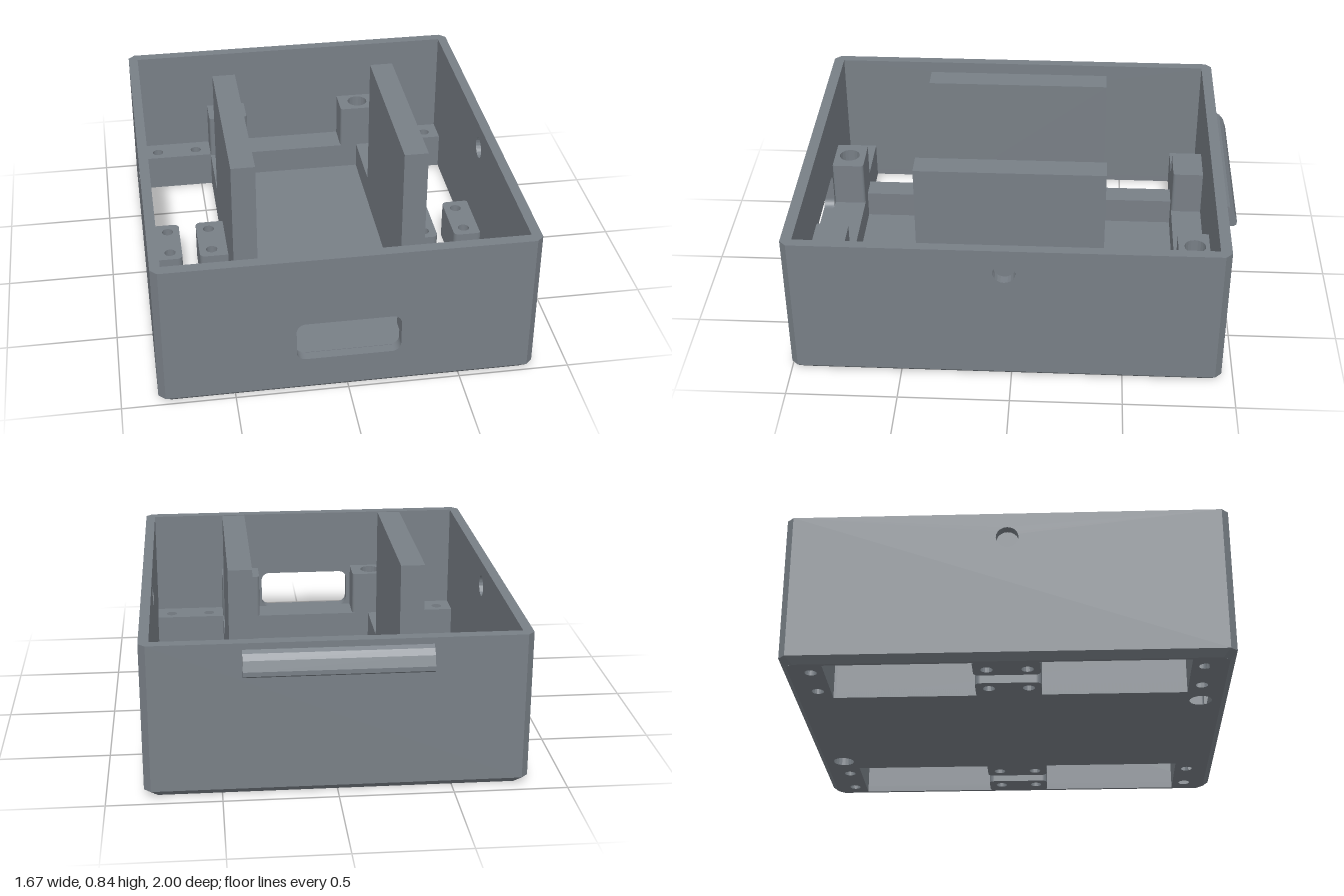
import * as THREE from 'three';

const material = new THREE.MeshStandardMaterial({ color: 0x787f86, flatShading: true });

// Outer body limits, wall thickness and edge chamfer
const X = 0.837, Z0 = -0.946, Z1 = 1.0, TOP = 0.7, WALL = 0.045, CH = 0.03;
const DECK = 0.18; // height of the mounting decks, tabs and rails

function roundRect(x0, y0, x1, y1, r = 0) {
  const s = new THREE.Shape();
  if (!r) {
    return s.moveTo(x0, y0).lineTo(x1, y0).lineTo(x1, y1).lineTo(x0, y1).closePath();
  }
  s.moveTo(x0 + r, y0).lineTo(x1 - r, y0);
  s.absarc(x1 - r, y0 + r, r, -Math.PI / 2, 0);
  s.absarc(x1 - r, y1 - r, r, 0, Math.PI / 2);
  s.absarc(x0 + r, y1 - r, r, Math.PI / 2, Math.PI);
  s.absarc(x0 + r, y0 + r, r, Math.PI, Math.PI * 1.5);
  return s;
}

function addHole(shape, x, y, r) {
  shape.holes.push(new THREE.Path().absarc(x, y, r, 0, Math.PI * 2, true));
}

function extrude(shape, depth) {
  return new THREE.ExtrudeGeometry(shape, { depth, bevelEnabled: false, curveSegments: 10 });
}

// Shape drawn in (x, z), standing between heights y0 and y1
function slab(shape, y0, y1) {
  return extrude(shape, y1 - y0).rotateX(Math.PI / 2).translate(0, y1, 0);
}

// Outline of the body with chamfered corners, inset by d
function outline(d, y) {
  const x = X - d, a = Z0 + d, b = Z1 - d;
  return [[-x + CH, b], [x - CH, b], [x, b - CH], [x, a + CH],
    [x - CH, a], [-x + CH, a], [-x, a + CH], [-x, b - CH]].map(([px, pz]) => [px, y, pz]);
}

// Chamfered skirt closing the lower edge of the walls
function skirtGeometry() {
  const rings = [outline(WALL, CH), outline(WALL, 0), outline(CH, 0), outline(0, CH)];
  const pos = [], index = [];
  rings.forEach((ring) => ring.forEach((p) => pos.push(...p)));
  for (let k = 0; k < 3; k++) {
    for (let i = 0; i < 8; i++) {
      const j = (i + 1) % 8;
      const a = k * 8 + i, b = k * 8 + j, c = a + 8, d = b + 8;
      index.push(a, c, b, b, c, d);
    }
  }
  const g = new THREE.BufferGeometry();
  g.setAttribute('position', new THREE.Float32BufferAttribute(pos, 3));
  g.setIndex(index);
  const flat = g.toNonIndexed();
  flat.computeVertexNormals();
  return flat;
}

export function createModel() {
  const model = new THREE.Group();
  const add = (name, geometry, mat = material) => {
    const mesh = new THREE.Mesh(geometry, mat);
    mesh.name = name;
    model.add(mesh);
  };

  // Front wall with its rounded window, plain back wall
  const front = roundRect(-X + CH, CH, X - CH, TOP);
  front.holes.push(roundRect(-0.23, 0.178, 0.23, 0.368, 0.04));
  add('frontWall', extrude(front, WALL + 0.005).translate(0, 0, Z1 - WALL - 0.005));
  add('backWall', extrude(roundRect(-X + CH, CH, X - CH, TOP), WALL + 0.005).translate(0, 0, Z0));

  // Side walls, each with a round hole near the rim
  for (const s of [-1, 1]) {
    const side = roundRect(-Z1 + CH, CH, -Z0 - CH, TOP);
    addHole(side, -0.03, 0.582, 0.05);
    add(s > 0 ? 'leftWall' : 'rightWall',
      extrude(side, WALL).rotateY(Math.PI / 2).translate(s > 0 ? X - WALL : -X, 0, 0));

    // Chamfered vertical corners
    for (const [z, dz] of [[Z1, -CH], [Z0, CH]]) {
      const corner = new THREE.Shape()
        .moveTo(s * (X - CH), z).lineTo(s * X, z + dz).lineTo(s * (X - CH), z + dz).closePath();
      add('cornerChamfer', slab(corner, CH, TOP));
    }
  }
  const skirtMaterial = material.clone();
  skirtMaterial.side = THREE.DoubleSide;
  add('bottomSkirt', skirtGeometry(), skirtMaterial);

  // Centre floor
  add('centreFloor', slab(roundRect(-0.445, -0.765, 0.445, 0.81), 0, 0.05));

  // End decks, deeper in the middle, with screw holes; one corner block per end is bored through
  const ends = [
    { wall: -0.905, edge: -0.762, step: -0.75, hz: -0.82, bore: [0.35, -0.828] },
    { wall: 0.955, edge: 0.812, step: 0.797, hz: 0.87, bore: [-0.35, 0.877] },
  ];
  for (const e of ends) {
    const deck = new THREE.Shape()
      .moveTo(-0.795, e.wall).lineTo(0.795, e.wall).lineTo(0.795, e.edge).lineTo(0.445, e.edge)
      .lineTo(0.445, e.step).lineTo(-0.445, e.step).lineTo(-0.445, e.edge)
      .lineTo(-0.795, e.edge).closePath();
    for (const x of [-0.72, -0.52, 0.52, 0.72]) addHole(deck, x, e.hz, 0.027);
    addHole(deck, ...e.bore, 0.05);
    add('endDeck', slab(deck, 0, DECK));
    for (const s of [-1, 1]) {
      const block = roundRect(Math.min(s * 0.25, s * 0.445), Math.min(e.wall, e.step),
        Math.max(s * 0.25, s * 0.445), Math.max(e.wall, e.step), 0.015);
      if (Math.sign(e.bore[0]) === s) addHole(block, ...e.bore, 0.05);
      add('cornerBlock', slab(block, DECK, 0.4));
    }
  }

  for (const s of [-1, 1]) {
    // Low rail along the floor with a tall plate on it
    add('floorRail', new THREE.BoxGeometry(0.11, DECK, 1.547).translate(s * 0.39, DECK / 2, 0.0235));
    add('tallPlate', new THREE.BoxGeometry(0.11, 0.84 - DECK, 0.862)
      .translate(s * 0.39, (0.84 + DECK) / 2, 0.026));

    // Pair of mounting tabs: one on the rail, one on the side wall
    for (const [a, b, hx] of [[0.42, 0.58, 0.52], [0.663, 0.8, 0.72]]) {
      const tab = roundRect(Math.min(s * a, s * b), -0.123, Math.max(s * a, s * b), 0.169, 0.025);
      for (const z of [-0.063, 0.113]) addHole(tab, s * hx, z, 0.027);
      add('mountingTab', slab(tab, 0, DECK));
    }
  }

  // Curved catch ridge on the back wall
  const ridge = new THREE.Shape()
    .moveTo(0.94, 0.56).lineTo(0.985, 0.56).lineTo(1.0, 0.57).lineTo(1.0, 0.59)
    .lineTo(0.985, 0.635).lineTo(0.965, 0.66).lineTo(0.94, 0.675).closePath();
  add('backRidge', extrude(ridge, 0.81).rotateY(Math.PI / 2).translate(-0.405, 0, 0));

  return model;
}
